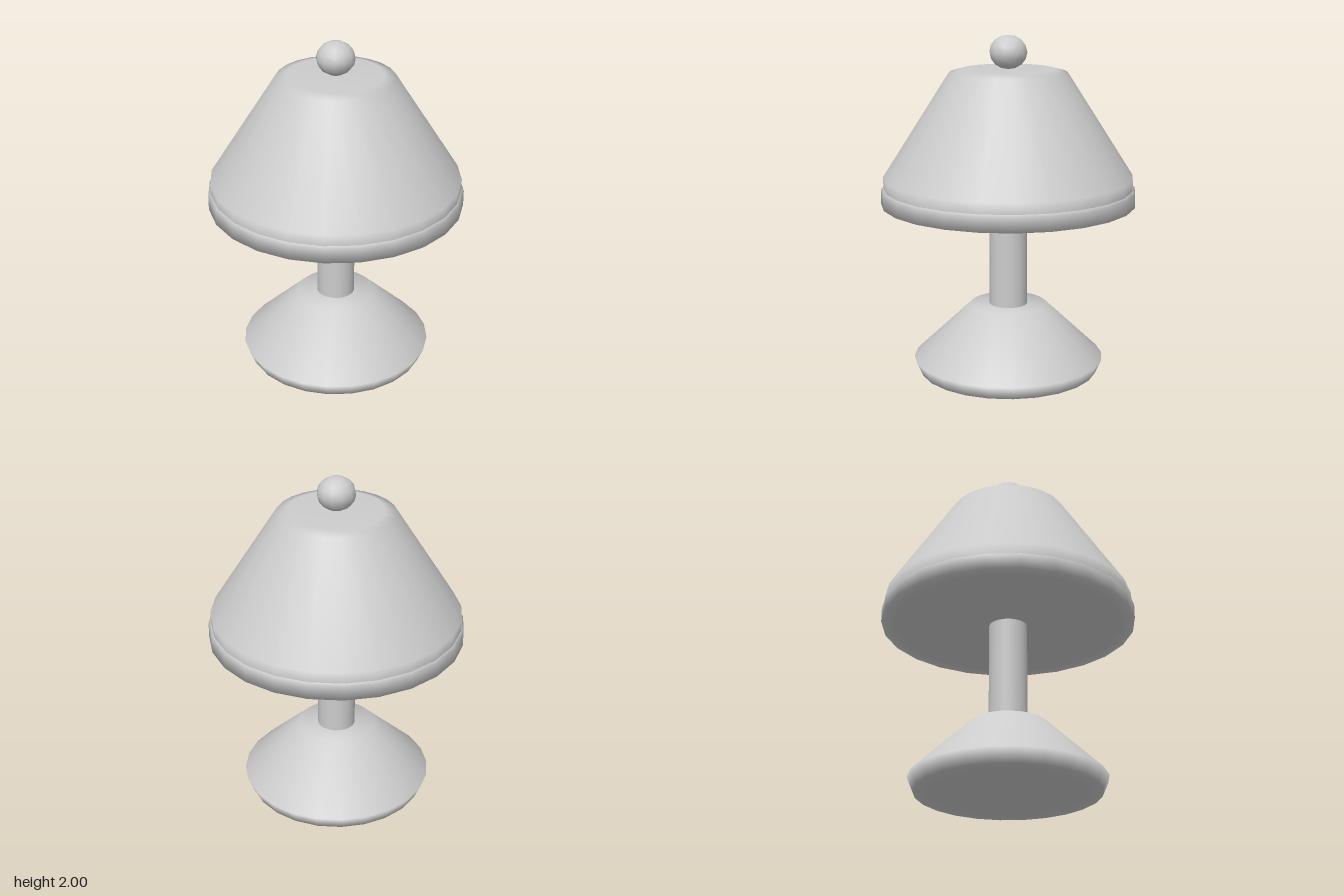
import * as THREE from 'three';

const grey = new THREE.MeshStandardMaterial({ color: 0xcccccc });
grey.name = 'light grey';

// Turned part from [radius, height] pairs, listed bottom to top
function turned(name, profile, sides = 24) {
  const points = profile.map(([r, y]) => new THREE.Vector2(r, y));
  const mesh = new THREE.Mesh(new THREE.LatheGeometry(points, sides), grey);
  mesh.name = name;
  return mesh;
}

export function createModel() {
  const lamp = new THREE.Group();
  lamp.name = 'tableLamp';

  // Foot with a slight undercut and a sloping top
  lamp.add(turned('base', [
    [0, 0], [0.44, 0], [0.53, 0], [0.565, 0.08], [0.225, 0.405], [0, 0.405],
  ]));

  // Straight stem, with its ends inside the base and the shade
  lamp.add(turned('stem', [[0.112, 0.39], [0.112, 1.03]]));

  // Rim band with a closed underside
  lamp.add(turned('shadeRim', [
    [0, 1.02], [0.665, 1.02], [0.745, 1.02], [0.745, 1.105], [0.728, 1.118],
  ]));

  // Tapered shade with a softened, closed top
  lamp.add(turned('shade', [
    [0.73, 1.11], [0.73, 1.18], [0.342, 1.787], [0.275, 1.805], [0, 1.805],
  ]));

  // Ball on top, slightly flattened
  const finial = new THREE.Mesh(new THREE.SphereGeometry(0.111, 12, 8), grey);
  finial.name = 'finial';
  finial.scale.y = 0.88;
  finial.position.y = 1.902;
  lamp.add(finial);

  return lamp;
}
